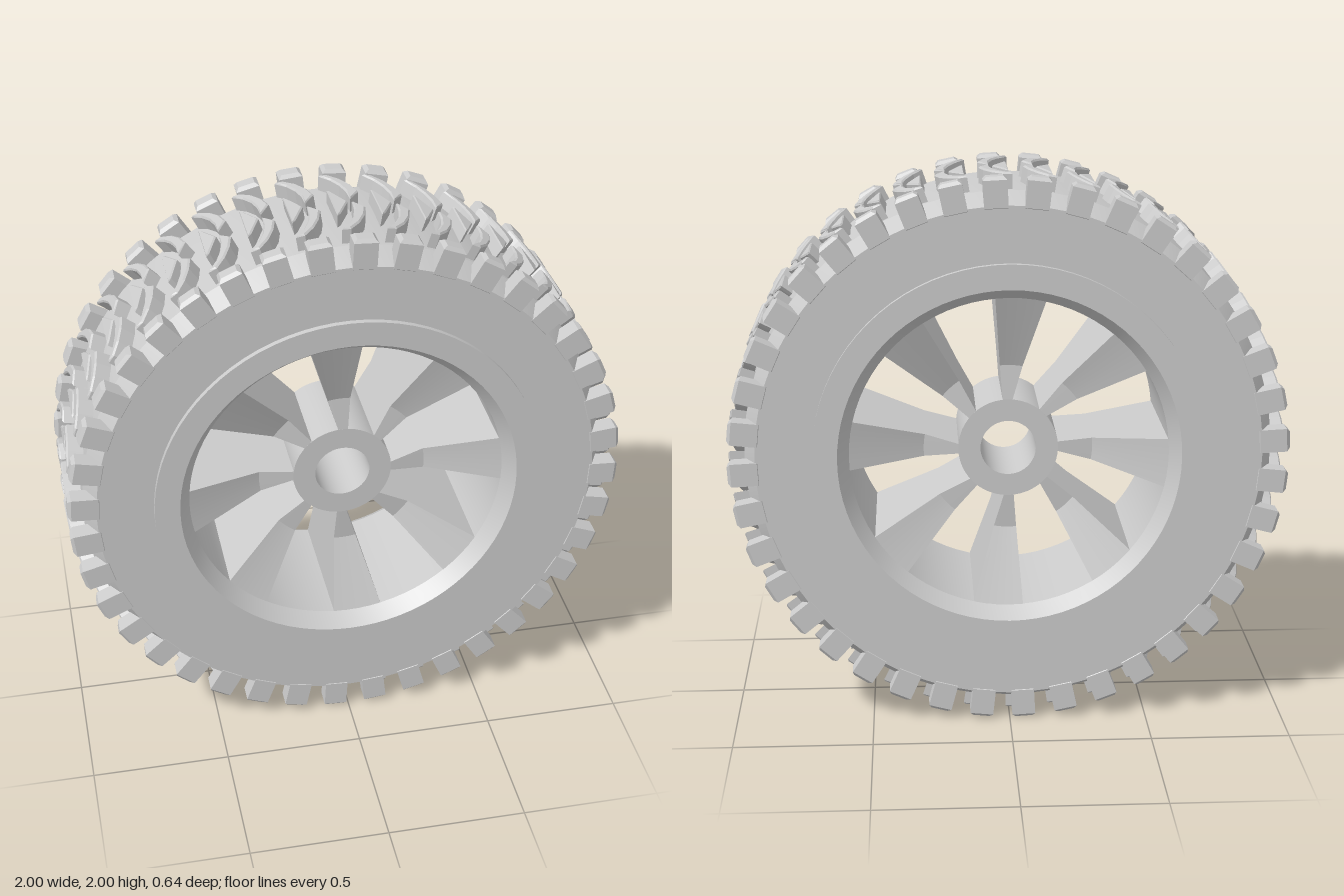
import * as THREE from 'three';
import { toCreasedNormals } from 'three/addons/utils/BufferGeometryUtils.js';

const ROWS = 40, SPOKES = 8;
const deg = THREE.MathUtils.degToRad;
const grey = new THREE.MeshStandardMaterial({ color: 0xcccccc });

function add(parent, name, geometry) {
  const mesh = new THREE.Mesh(geometry, grey);
  mesh.name = name;
  parent.add(mesh);
  return mesh;
}

// Ring turned about the z axle; profile is a closed loop of [radius, z], outer side towards +z
function ring(profile, segments) {
  const pts = [...profile, profile[0]].map(([r, z]) => new THREE.Vector2(r, z));
  const g = new THREE.LatheGeometry(pts, segments).rotateX(Math.PI / 2);
  // lathe +y now points to +z
  return toCreasedNormals(g, 0.3);
}

// Bevelled rubber block: outline of [z, tangent] points, raised radially along +x
function treadBlock(outline, base, top, bevel) {
  const shape = new THREE.Shape(outline.map(([z, t]) => new THREE.Vector2(-z, t)));
  const g = new THREE.ExtrudeGeometry(shape, {
    depth: top - base - 2 * bevel, bevelEnabled: true, bevelSegments: 1,
    bevelThickness: bevel, bevelSize: bevel, bevelOffset: -bevel,
  });
  return g.translate(0, 0, base + bevel).rotateY(Math.PI / 2);
}

// Tapered, slightly swept spoke with a dished face on both sides
function spokeGeometry() {
  const g = new THREE.BoxGeometry(1, 1, 1, 6, 2, 1);
  const p = g.attributes.position;
  const stations = [
    { v: 0, z: 0.17 }, { v: 0.33, z: 0.16 }, { v: 1, z: 0.262 },
  ];
  for (let i = 0; i < p.count; i++) {
    const u = -p.getX(i);
    const { v, z } = stations[Math.round((p.getY(i) + 0.5) * 2)];
    const a = deg(-1 + u * 11), b = deg(4 + u * 18);
    p.setXYZ(i,
      THREE.MathUtils.lerp(0.172 * Math.cos(a), 0.574 * Math.cos(b), v),
      THREE.MathUtils.lerp(0.172 * Math.sin(a), 0.574 * Math.sin(b), v),
      Math.sign(p.getZ(i)) * z);
  }
  return toCreasedNormals(g, 0.3);
}

export function createModel() {
  const wheel = new THREE.Group();
  wheel.name = 'wheel';
  const body = new THREE.Group();
  body.name = 'wheelBody';
  body.position.y = 1;
  wheel.add(body);

  // Tyre carcass with sloping shoulders
  add(body, 'tyre', ring([
    [0.68, -0.3], [0.9, -0.3], [0.942, -0.22], [0.948, 0],
    [0.942, 0.22], [0.9, 0.3], [0.68, 0.3],
  ], 80));

  // Rim barrel with flat flange and bevelled inner lip
  add(body, 'rim', ring([
    [0.61, -0.32], [0.7, -0.32], [0.7, 0.32], [0.61, 0.32],
    [0.57, 0.26], [0.57, -0.26],
  ], 80));

  // Hub with axle bore
  add(body, 'hub', ring([
    [0.1, -0.17], [0.18, -0.17], [0.18, 0.17], [0.1, 0.17],
  ], 48));

  // Spokes
  const spoke = spokeGeometry();
  for (let i = 0; i < SPOKES; i++) {
    add(body, 'spoke', spoke).rotation.z = (i / SPOKES) * Math.PI * 2;
  }

  // Tread: curved arms, centre wedge and shoulder lugs per row
  const armOutline = [
    [0.205, 0.012], [0.165, -0.022], [0.12, -0.045], [0.07, -0.058], [0.012, -0.062],
    [0.06, -0.1], [0.115, -0.085], [0.165, -0.058], [0.205, -0.02],
  ];
  const wedgeOutline = [[0.095, 0.004], [-0.095, 0.004], [-0.08, -0.01], [0, -0.05], [0.08, -0.01]];
  const lugOutline = [[0.235, -0.042], [0.302, -0.042], [0.302, 0.042], [0.235, 0.042]];
  const mirror = (pts) => pts.map(([z, t]) => [-z, t]);
  const arms = [armOutline, mirror(armOutline)].map((o) => treadBlock(o, 0.92, 1, 0.006));
  const lugs = [lugOutline, mirror(lugOutline)].map((o) => treadBlock(o, 0.88, 1, 0.012));
  const wedge = treadBlock(wedgeOutline, 0.92, 0.995, 0.005);
  for (let i = 0; i < ROWS; i++) {
    const row = new THREE.Group();
    row.name = 'treadRow';
    row.rotation.z = (i / ROWS) * Math.PI * 2;
    body.add(row);
    arms.forEach((g) => add(row, 'treadArm', g));
    add(row, 'treadWedge', wedge);
    lugs.forEach((g) => { add(row, 'shoulderLug', g).rotation.z = deg(-3); });
  }
  return wheel;
}
